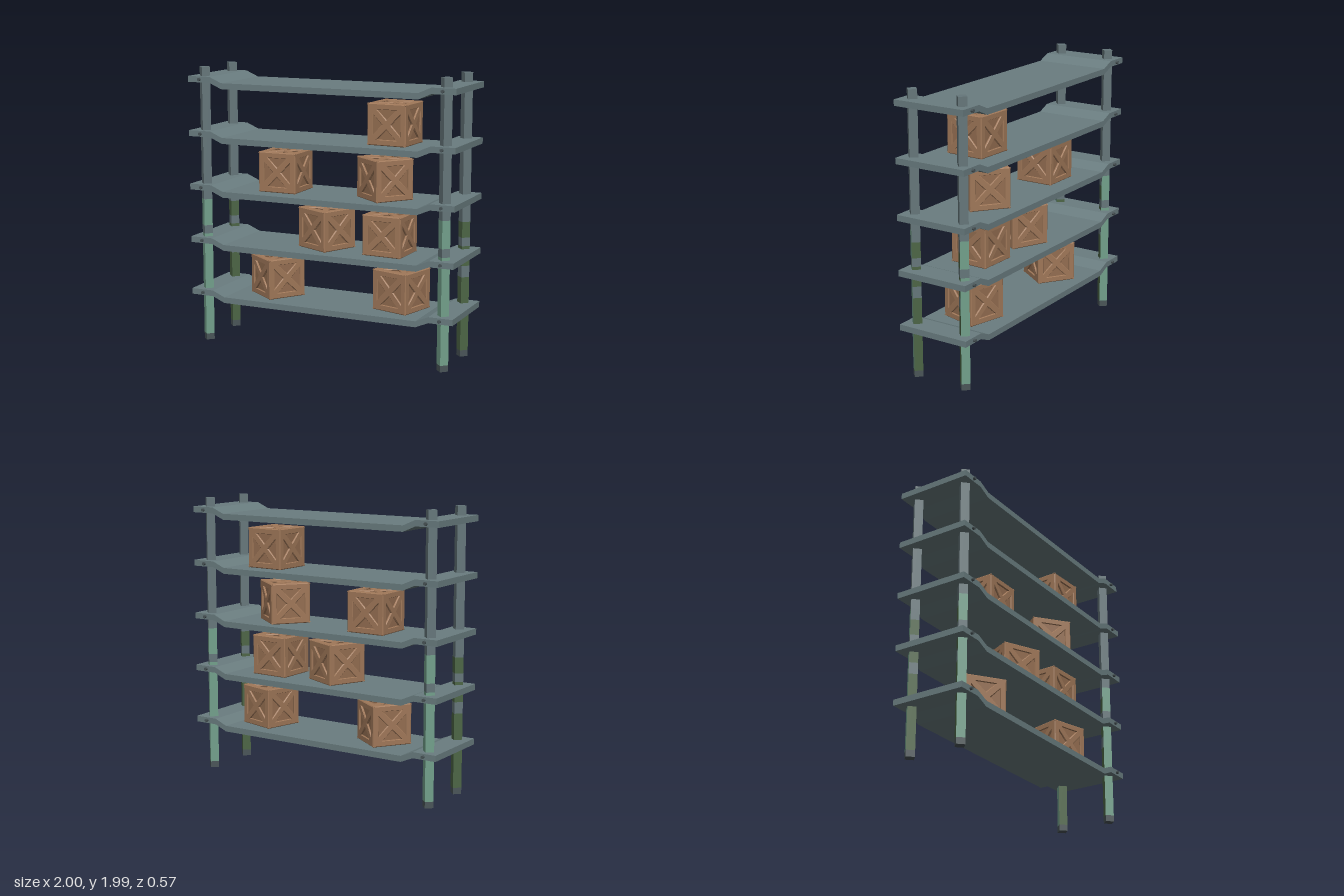
import * as THREE from 'three';

const mat = (name, color) => {
  const m = new THREE.MeshStandardMaterial({ color });
  m.name = name;
  return m;
};

export function createModel() {
  const steel = mat('shelf steel', 0x6a7d80);
  const postSteel = mat('post steel', 0x65767a);
  const teal = mat('teal paint', 0x72a08b);
  const olive = mat('olive paint', 0x4c6545);
  const dark = mat('dark metal', 0x4a5558);
  const wood = mat('crate wood', 0xa07859);
  const woodDark = mat('crate inner wood', 0x946e51);

  const model = new THREE.Group();
  model.name = 'shelvingRack';
  const add = (parent, geo, material, name) => {
    const m = new THREE.Mesh(geo, material);
    m.name = name;
    parent.add(m);
    return m;
  };

  // Shelves: a dropped tray profile extruded front to back
  const STEP = 0.384, T = 0.042;
  const top = [[-1, 0.04], [-0.828, 0.04], [-0.735, 0], [0.735, 0], [0.828, 0.04], [1, 0.04]];
  const outline = [...top.map(([x, y]) => [x, y - T]), ...top.slice().reverse()];
  const shelfGeo = new THREE.ExtrudeGeometry(
    new THREE.Shape(outline.map(([x, y]) => new THREE.Vector2(x, y))),
    { depth: 0.54, bevelEnabled: false });
  shelfGeo.translate(0, 0, -0.27);
  const boltGeo = new THREE.CylinderGeometry(0.012, 0.012, 0.572, 6).rotateX(Math.PI / 2);
  const shelfTop = (i) => 0.345 + STEP * i;
  for (let i = 0; i < 5; i++) {
    add(model, shelfGeo, steel, 'shelf').position.y = shelfTop(i);
    // Through bolts at both ends
    for (const sx of [-1, 1])
      add(model, boltGeo, dark, 'bolt').position.set(sx * 0.908, shelfTop(i) + 0.019, 0);
  }

  // Posts: square bars turned 45 degrees, in painted bands [from, to, outer colour, inner colour]
  const bands = [
    [0, 0.045, dark, dark],
    [0.045, 0.57, teal, olive],
    [0.57, 0.65, teal, postSteel],
    [0.65, 0.79, teal, olive],
    [0.79, 0.85, postSteel, postSteel],
    [0.85, 0.96, teal, olive],
    [0.96, 1.04, teal, postSteel],
    [1.04, 1.985, postSteel, postSteel],
  ];
  for (const sx of [-1, 1]) for (const sz of [-1, 1]) {
    const post = new THREE.Group();
    post.name = 'post';
    post.position.set(sx * 0.906, 0, sz * 0.195);
    post.rotation.y = Math.PI / 4;
    for (const [y0, y1, outer, inner] of bands) {
      const f = sz > 0 ? outer : inner, b = sz > 0 ? inner : outer;
      const seg = add(post, new THREE.BoxGeometry(0.0595, y1 - y0, 0.0595),
        [b, f, postSteel, dark, f, b], 'postBand');
      seg.position.y = (y0 + y1) / 2;
    }
    model.add(post);
  }

  // Crate panel: chamfered board with four triangular recesses that leave a frame and a cross
  const S = 0.286, C = 0.006, h = S / 2 - C;
  const panel = new THREE.Shape([[-h, -h], [h, -h], [h, h], [-h, h]].map(p => new THREE.Vector2(...p)));
  const q = 0.105, w = 0.026;
  for (let k = 0; k < 4; k++) {
    const turn = ([x, y]) => new THREE.Vector2(x, y).rotateAround(new THREE.Vector2(), k * Math.PI / 2);
    panel.holes.push(new THREE.Path([[0, w], [-(q - w), q], [q - w, q]].map(turn)));
  }
  const panelGeo = new THREE.ExtrudeGeometry(panel, {
    depth: 0.004, bevelEnabled: true, bevelSize: C, bevelThickness: C, bevelSegments: 1 });
  panelGeo.translate(0, 0, S / 2 - C - 0.004);
  const coreGeo = new THREE.BoxGeometry(S - 0.028, S - 0.028, S - 0.028);

  // Crates: [shelf, x, turn in degrees]
  const crates = [
    [0, -0.44, -35], [0, 0.523, -15],
    [1, -0.048, -25], [1, 0.433, -2],
    [2, -0.37, 0], [2, 0.393, -38],
    [3, 0.465, -2.5],
  ];
  for (const [level, x, deg] of crates) {
    const crate = new THREE.Group();
    crate.name = 'crate';
    add(crate, coreGeo, woodDark, 'crateCore');
    for (let k = 0; k < 4; k++) add(crate, panelGeo, wood, 'cratePanel').rotation.y = k * Math.PI / 2;
    for (const s of [-1, 1]) add(crate, panelGeo, wood, 'crateLid').rotation.x = s * Math.PI / 2;
    crate.position.set(x, shelfTop(level) + S / 2, 0);
    crate.rotation.y = THREE.MathUtils.degToRad(deg);
    model.add(crate);
  }
  return model;
}
